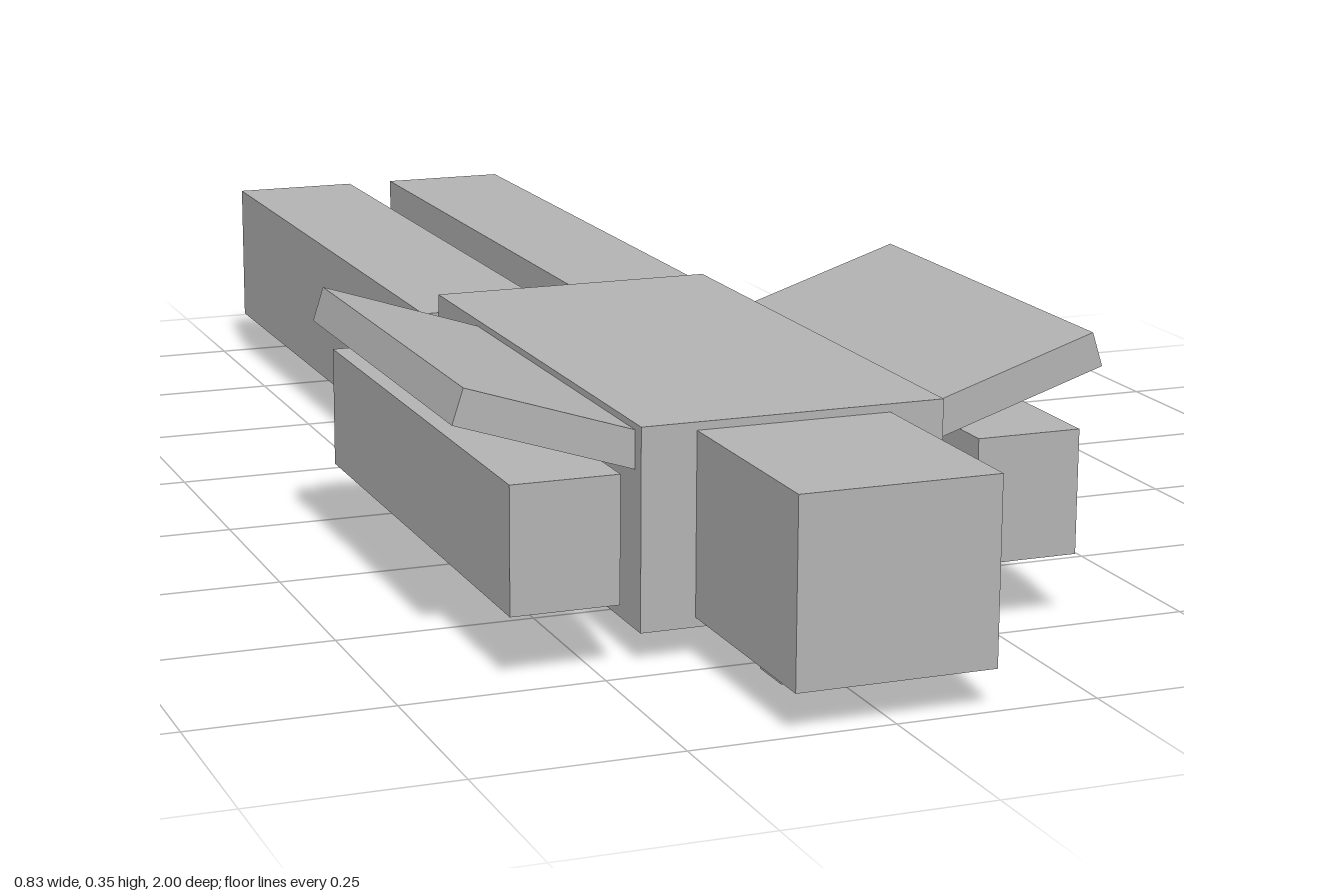
import * as THREE from 'three';

export function createModel() {
  const model = new THREE.Group();
  const grey = new THREE.MeshStandardMaterial({ color: 0xb3b3b3 });
  grey.name = 'grey';

  // Box given by its [min, max] range on each axis
  function block(name, [x0, x1], [y0, y1], [z0, z1]) {
    const mesh = new THREE.Mesh(new THREE.BoxGeometry(x1 - x0, y1 - y0, z1 - z0), grey);
    mesh.position.set((x0 + x1) / 2, (y0 + y1) / 2, (z0 + z1) / 2);
    mesh.name = name;
    model.add(mesh);
    return mesh;
  }

  // Centre line parts
  block('body', [-0.192, 0.192], [0.038, 0.286], [-0.045, 0.71]);
  block('nose', [-0.123, 0.123], [0.05, 0.276], [0.7, 1]);
  block('bellyPad', [-0.083, 0.083], [0, 0.045], [0.375, 0.535]);

  // Mirrored parts
  for (const [side, s] of [['left', 1], ['right', -1]]) {
    const span = (a, b) => (s > 0 ? [a, b] : [-b, -a]);
    block(`${side}TailBoom`, span(0.034, 0.214), [0.06, 0.261], [-1, -0.045]);
    block(`${side}SidePod`, span(0.227, 0.361), [0.084, 0.24], [0.026, 0.735]);
    block(`${side}NosePad`, span(0.028, 0.103), [0.031, 0.055], [0.855, 0.915]);

    // Wing panel sloping up and outwards from the body
    const wing = block(`${side}Wing`, [-0.13, 0.13], [-0.0225, 0.0225], [0.12, 0.69]);
    wing.position.x = s * 0.283;
    wing.position.y = 0.284;
    wing.rotation.z = s * THREE.MathUtils.degToRad(18);
  }

  return model;
}
